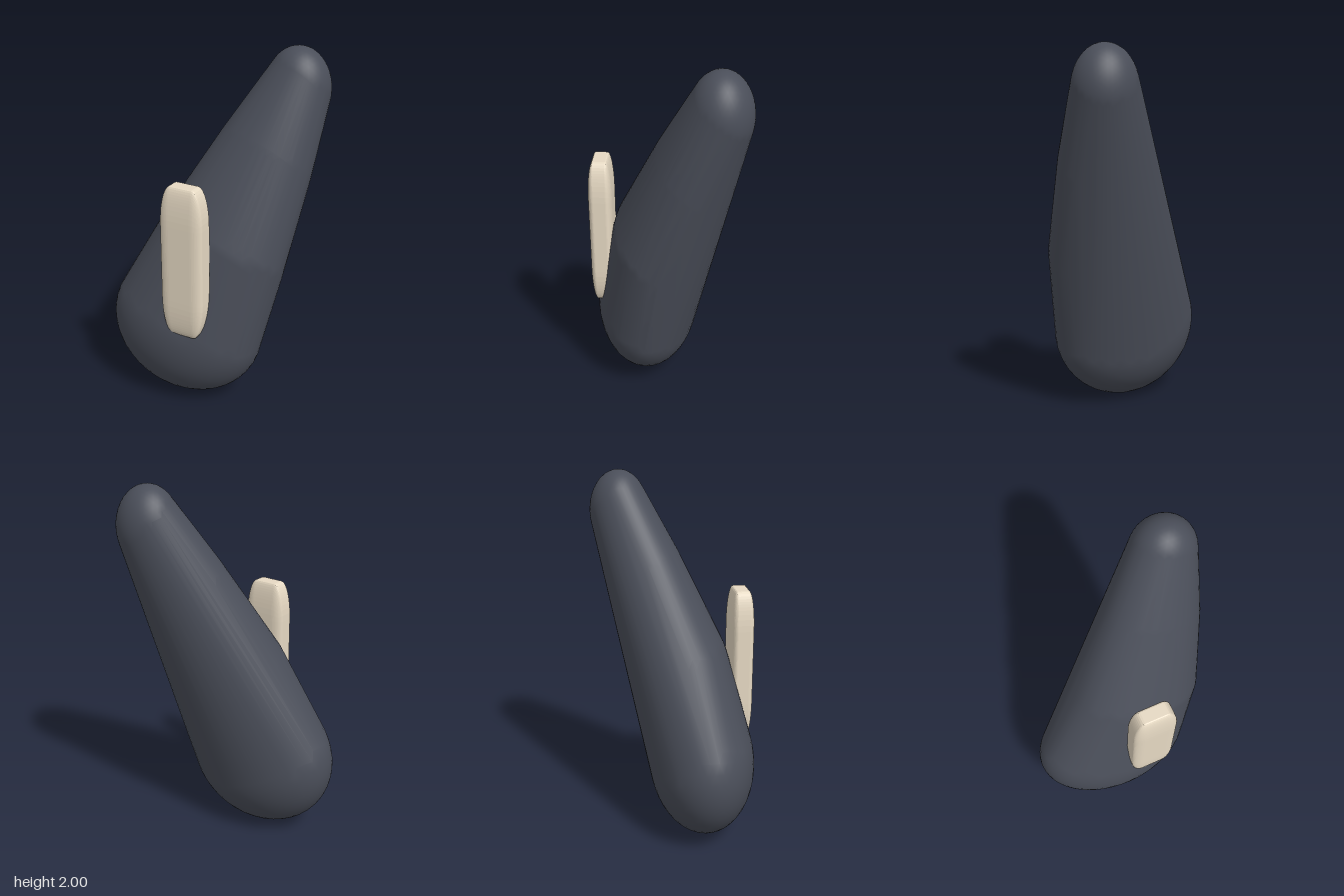
import * as THREE from 'three';
import { ConvexGeometry } from 'three/addons/geometries/ConvexGeometry.js';
import { RoundedBoxGeometry } from 'three/addons/geometries/RoundedBoxGeometry.js';
import { mergeVertices } from 'three/addons/utils/BufferGeometryUtils.js';

// Points of an ellipsoid given its centre and radii
function ellipsoidPoints(centre, radii) {
  const geo = new THREE.IcosahedronGeometry(1, 7);
  geo.scale(...radii).translate(...centre);
  geo.deleteAttribute('normal');
  geo.deleteAttribute('uv');
  const pos = mergeVertices(geo, 1e-4).attributes.position;
  return Array.from({ length: pos.count }, (_, i) => new THREE.Vector3().fromBufferAttribute(pos, i));
}

export function createModel() {
  const model = new THREE.Group();

  // Leaning tapered body: one skin stretched over four shrinking ellipsoids
  const swells = [
    { centre: [-0.09, 0.42, 0.13], radii: [0.46, 0.42, 0.295] },
    { centre: [0.08, 0.89, 0.05], radii: [0.385, 0.36, 0.265] },
    { centre: [0.245, 1.38, -0.12], radii: [0.28, 0.3, 0.21] },
    { centre: [0.37, 1.77, -0.27], radii: [0.18, 0.23, 0.165] },
  ];
  let skin = new ConvexGeometry(swells.flatMap((s) => ellipsoidPoints(s.centre, s.radii)));
  skin.deleteAttribute('normal');
  skin = mergeVertices(skin, 1e-4);
  skin.computeVertexNormals();
  const body = new THREE.Mesh(skin, new THREE.MeshStandardMaterial({ color: 0x4a4e59 }));
  body.name = 'body';
  model.add(body);

  // Pale upright bar, sunk into the body at its lower end
  const barGeo = new RoundedBoxGeometry(1, 1, 1, 6, 0.25);
  barGeo.scale(0.25, 0.87, 0.13);
  barGeo.computeVertexNormals();
  const bar = new THREE.Mesh(barGeo, new THREE.MeshStandardMaterial({ color: 0xe6d9c3 }));
  bar.position.set(0.045, 0.945, 0.37);
  bar.name = 'frontBar';
  model.add(bar);

  return model;
}
